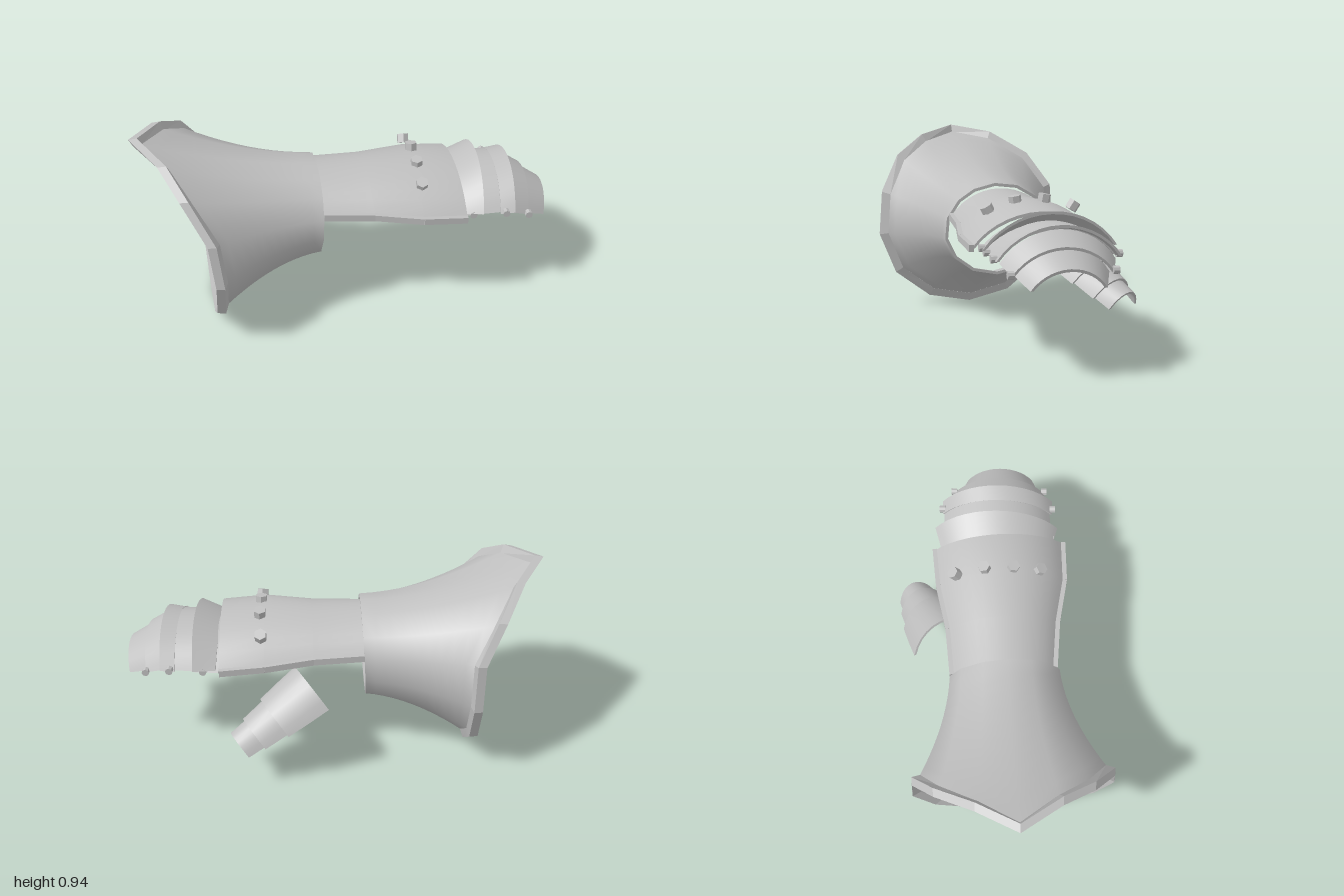
import * as THREE from 'three';
import { toCreasedNormals } from 'three/addons/utils/BufferGeometryUtils.js';

const steel = new THREE.MeshStandardMaterial({ color: 0xc0c0c0, side: THREE.DoubleSide });
steel.name = 'steel';
const V = (x, y, z) => new THREE.Vector3(x, y, z);

// Skin over rows of points; each row is a closed loop
function skin(rows, closeRows, crease) {
  const n = rows[0].length, m = rows.length, pos = [], idx = [];
  rows.forEach(r => r.forEach(p => pos.push(p.x, p.y, p.z)));
  for (let j = 0; j < (closeRows ? m : m - 1); j++) {
    for (let i = 0; i < n; i++) {
      const k = (j + 1) % m, l = (i + 1) % n;
      const a = j * n + i, b = j * n + l, c = k * n + l, d = k * n + i;
      idx.push(a, b, c, a, c, d);
    }
  }
  const g = new THREE.BufferGeometry();
  g.setAttribute('position', new THREE.Float32BufferAttribute(pos, 3));
  g.setIndex(idx);
  return toCreasedNormals(g, crease);
}

function add(group, name, geometry) {
  const mesh = new THREE.Mesh(geometry, steel);
  mesh.name = name;
  group.add(mesh);
  return mesh;
}

// Arch section between two corners, rising along the vector up
const section = (l, r, up) => ({ l, r, up });
const cross = (x, y, zR, zL, sag, dx = 0, skew = 0) =>
  section(V(x + skew, y, zL), V(x - skew, y, zR), V(dx, sag, 0));

// Curved plate with thickness, lofted through arch sections
function plate(sections, thick = 0.013, n = 14, half = 1.0) {
  const loops = sections.map(({ l, r, up }) => {
    const mid = l.clone().add(r).multiplyScalar(0.5), side = r.clone().sub(mid);
    const arc = t => Array.from({ length: n + 1 }, (_, i) => {
      const a = half * (2 * i / n - 1);
      return mid.clone()
        .addScaledVector(side, (1 - t / side.length()) * Math.sin(a) / Math.sin(half))
        .addScaledVector(up, (1 - t / up.length()) * (Math.cos(a) - Math.cos(half)) / (1 - Math.cos(half)));
    });
    return [...arc(0), ...arc(thick).reverse()];
  });
  const cap = loop => loop.map((p, i) => p.clone().lerp(loop[loop.length - 1 - i], 0.5));
  return skin([cap(loops[0]), ...loops, cap(loops[loops.length - 1])], false, 0.6);
}

// Straight edge strip between two points
function strip(group, name, p, q, w, h) {
  const bar = add(group, name, new THREE.BoxGeometry(w, h, p.distanceTo(q)));
  bar.position.copy(p).lerp(q, 0.5);
  bar.lookAt(q);
}

function buildCuff(group) {
  // Rim corners as [x, y, z]
  const rim = [
    [-1, 0.95, 0.08], [-0.87, 0.91, 0.27], [-0.78, 0.81, 0.42], [-0.67, 0.625, 0.525],
    [-0.645, 0.40, 0.545], [-0.65, 0.19, 0.46], [-0.665, 0.05, 0.275], [-0.68, 0.005, 0.05],
    [-0.695, 0.055, -0.17], [-0.71, 0.18, -0.335], [-0.715, 0.39, -0.435], [-0.72, 0.63, -0.42],
    [-0.81, 0.80, -0.31], [-0.9, 0.915, -0.12],
  ];
  const ring = (dx, s) => rim.map(([x, y, z]) => V(x + dx, 0.48 + (y - 0.48) * s, 0.05 + (z - 0.05) * s));
  add(group, 'cuffRim', skin([ring(0, 0.99), ring(0.04, 1), ring(0.055, 0.91), ring(0.02, 0.905)], true, 0.15));

  // Flared wall, bending from the rim to the wrist opening
  const wall = (t, off) => ring(0.04, 0.93).map(p => {
    const a = Math.atan2(p.y - 0.48, p.z - 0.05), c = Math.cos(a), s = Math.sin(a);
    const end = V(-0.145 + 0.02 * c + 0.012 * s, 0.482 + (0.237 - off) * s, 0.01 + (0.278 - off) * c);
    const bend = V(end.x + (p.x - end.x) * 0.47, 0.482 + (0.258 - off) * s, 0.02 + (0.295 - off) * c);
    const start = V(p.x, p.y - off * s, p.z - off * c);
    return new THREE.QuadraticBezierCurve3(start, bend, end).getPoint(t);
  });
  const rows = [];
  for (let i = 0; i <= 10; i++) rows.push(wall(i / 10, 0));
  for (let i = 10; i >= 0; i--) rows.push(wall(i / 10, 0.015));
  add(group, 'cuffWall', skin(rows, true, 0.9));
}

function buildHand(group) {
  const s = [
    cross(-0.14, 0.56, -0.245, 0.255, 0.13, 0, 0.02),
    cross(0.1, 0.55, -0.27, 0.27, 0.135, 0, 0.02),
    cross(0.33, 0.535, -0.322, 0.308, 0.165, 0, 0.02),
    cross(0.54, 0.522, -0.345, 0.303, 0.15, 0, 0.02),
  ];
  add(group, 'handPlate', plate(s, 0.015));
  for (let i = 0; i < 3; i++) {
    strip(group, 'handEdgeLeft', s[i].l, s[i + 1].l, 0.022, 0.032);
    strip(group, 'handEdgeRight', s[i].r, s[i + 1].r, 0.022, 0.032);
  }
  // Knuckle bolts
  for (const [x, y, z] of [[0.33, 0.662, -0.235], [0.345, 0.702, -0.09], [0.35, 0.698, 0.05], [0.355, 0.658, 0.18]]) {
    const bolt = add(group, 'knuckleBolt', new THREE.CylinderGeometry(0.03, 0.03, 0.045, 6).toNonIndexed());
    bolt.geometry.computeVertexNormals();
    bolt.position.set(x, y, z);
    bolt.rotation.x = (z + 0.01) * 2.6;
  }
}

function buildFingers(group) {
  const lames = [
    [cross(0.47, 0.5, -0.31, 0.245, 0.13), cross(0.64, 0.5, -0.31, 0.24, 0.13)],
    [cross(0.54, 0.515, -0.315, 0.245, 0.11), cross(0.645, 0.525, -0.345, 0.275, 0.165, 0.015)],
    [cross(0.6, 0.5, -0.305, 0.24, 0.14), cross(0.76, 0.505, -0.3, 0.238, 0.135, 0.01)],
    [cross(0.735, 0.5, -0.31, 0.25, 0.14, 0.01), cross(0.805, 0.505, -0.312, 0.252, 0.15, 0.015)],
    [cross(0.79, 0.495, -0.285, 0.235, 0.14, 0.015), cross(0.885, 0.455, -0.25, 0.205, 0.12, 0.02)],
    [cross(0.87, 0.455, -0.23, 0.19, 0.115, 0.02), cross(0.98, 0.41, -0.185, 0.15, 0.09, 0.02)],
  ];
  lames.forEach(l => add(group, 'fingerLame', plate(l)));
  // Hinge rivets on both sides
  for (const [x, y, zR, zL] of [[0.51, 0.513, -0.31, 0.245], [0.6, 0.51, -0.312, 0.245],
    [0.76, 0.51, -0.312, 0.252], [0.885, 0.463, -0.255, 0.21]]) {
    for (const z of [zR, zL]) {
      const rivet = add(group, 'hingeRivet', toCreasedNormals(new THREE.CylinderGeometry(0.018, 0.018, 0.028, 8), 0.6));
      rivet.position.set(x, y, z);
      rivet.rotation.x = Math.PI / 2;
    }
  }
}

function buildThumb(group) {
  const start = V(0.085, 0.395, -0.28), end = V(0.415, 0.182, -0.46);
  const side = V(0.46, 0, 0.885), up = V(0.43, 0.87, -0.23);
  const at = (s, half, sag) => {
    const mid = start.clone().lerp(end, s);
    return section(mid.clone().addScaledVector(side, half), mid.clone().addScaledVector(side, -half),
      up.clone().multiplyScalar(sag));
  };
  const lames = [
    [at(0, 0.184, 0.13), at(0.25, 0.172, 0.125), at(0.52, 0.155, 0.118)],
    [at(0.48, 0.142, 0.105), at(0.8, 0.122, 0.1)],
    [at(0.76, 0.11, 0.088), at(1, 0.094, 0.088)],
  ];
  lames.forEach(l => add(group, 'thumbLame', plate(l, 0.012, 10)));
}

export function createModel() {
  const model = new THREE.Group();
  model.name = 'gauntlet';
  for (const [name, build] of [['cuff', buildCuff], ['hand', buildHand], ['fingers', buildFingers], ['thumb', buildThumb]]) {
    const part = new THREE.Group();
    part.name = name;
    build(part);
    model.add(part);
  }
  return model;
}
